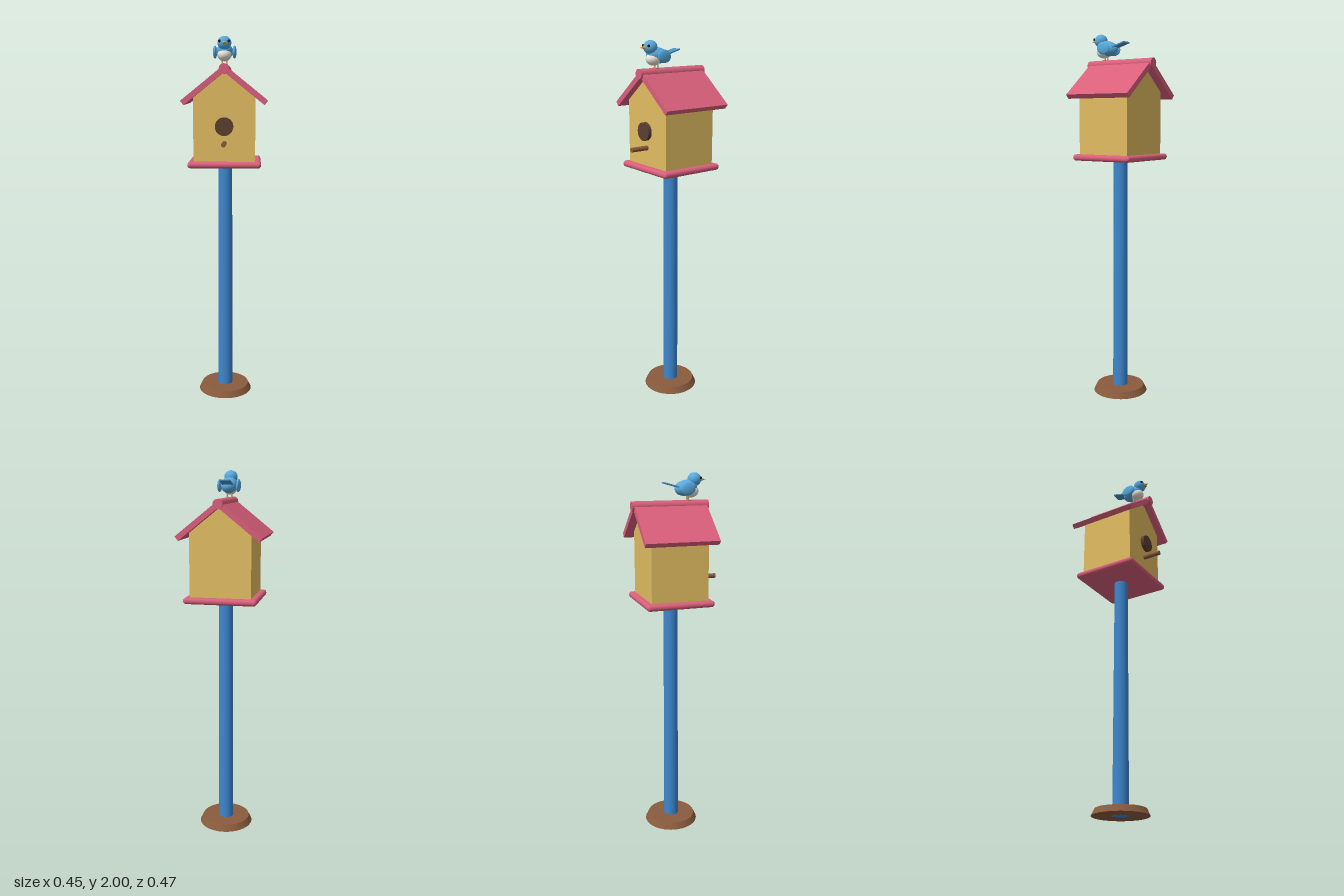
import * as THREE from 'three';
import { RoundedBoxGeometry } from 'three/addons/geometries/RoundedBoxGeometry.js';

const COLORS = {
  blue: 0x3d87cf, pink: 0xd95f7b, yellow: 0xe2bd62, brown: 0x8a5b3e, dark: 0x5a4030,
  bird: 0x58aade, tail: 0x4a92c4, white: 0xe9e4da, black: 0x151515, beak: 0xdca23c, leg: 0xc9a070,
};
const mats = {};
for (const key in COLORS) mats[key] = new THREE.MeshStandardMaterial({ color: COLORS[key] });

function add(parent, name, geometry, color, x = 0, y = 0, z = 0) {
  const mesh = new THREE.Mesh(geometry, mats[color]);
  mesh.name = name;
  mesh.position.set(x, y, z);
  parent.add(mesh);
  return mesh;
}

function ellipsoid(rx, ry, rz) {
  return new THREE.SphereGeometry(1, 32, 20).scale(rx, ry, rz);
}

// cylinder lying along z, from z0 to z1
function rod(radius, z0, z1) {
  return new THREE.CylinderGeometry(radius, radius, z1 - z0, 32)
    .rotateX(Math.PI / 2).translate(0, 0, (z0 + z1) / 2);
}

// profile in x and y, extruded from z0 to z1
function prism(points, z0, z1) {
  const shape = new THREE.Shape(points.map(([x, y]) => new THREE.Vector2(x, y)));
  return new THREE.ExtrudeGeometry(shape, { depth: z1 - z0, bevelEnabled: false }).translate(0, 0, z0);
}

function createStand() {
  const stand = new THREE.Group();
  stand.name = 'stand';
  const z = -0.024;
  add(stand, 'foot', new THREE.CylinderGeometry(0.133, 0.15, 0.035, 40), 'brown', 0, 0.0185, z);
  add(stand, 'pole', new THREE.CylinderGeometry(0.038, 0.042, 1.33, 32), 'blue', 0, 0.665, z);
  return stand;
}

function createHouse() {
  const house = new THREE.Group();
  house.name = 'house';
  add(house, 'floor', new RoundedBoxGeometry(0.39, 0.034, 0.37, 4, 0.0165), 'pink', 0, 1.338, -0.024);
  add(house, 'walls', prism(
    [[-0.163, 1.345], [0.163, 1.345], [0.163, 1.69], [0, 1.822], [-0.163, 1.69]], -0.178, 0.132), 'yellow');

  // two sloping roof slabs that meet under the ridge
  for (const s of [1, -1]) {
    add(house, s > 0 ? 'leftRoof' : 'rightRoof', prism(
      [[0, 1.818], [s * 0.209, 1.651], [s * 0.227, 1.673], [0, 1.854]], -0.224, 0.171), 'pink');
  }
  add(house, 'ridge', rod(0.026, -0.234, 0.182), 'pink', 0, 1.835, 0);

  // entrance and perch
  add(house, 'entrance', rod(0.048, 0.137, 0.158), 'dark', 0, 1.54, 0);
  add(house, 'perch', rod(0.0125, 0.12, 0.232), 'brown', 0, 1.452, 0);
  return house;
}

function createBird() {
  const bird = new THREE.Group();
  bird.name = 'bird';
  const body = add(bird, 'body', ellipsoid(0.044, 0.04, 0.061), 'bird', 0, 1.923, 0.061);
  body.rotation.x = -0.2;
  add(bird, 'belly', ellipsoid(0.037, 0.033, 0.041), 'white', 0, 1.906, 0.088);
  add(bird, 'head', ellipsoid(0.036, 0.035, 0.036), 'bird', 0, 1.965, 0.107);
  add(bird, 'beak', new THREE.ConeGeometry(0.011, 0.034, 20).rotateX(Math.PI / 2), 'beak', 0, 1.964, 0.153);

  // tail blade, rising to the back
  const tail = add(bird, 'tail', new THREE.BoxGeometry(0.056, 0.007, 0.08), 'tail', 0, 1.939, -0.023);
  tail.rotation.x = 0.28;

  for (const s of [1, -1]) {
    const side = s > 0 ? 'left' : 'right';
    const wing = add(bird, side + 'Wing', ellipsoid(0.011, 0.033, 0.041), 'bird', s * 0.051, 1.921, 0.056);
    wing.rotation.x = -0.2;
    add(bird, side + 'Eye', ellipsoid(0.007, 0.007, 0.007), 'black', s * 0.024, 1.973, 0.134);
    add(bird, side + 'Leg', new THREE.CylinderGeometry(0.004, 0.004, 0.04, 12), 'leg', s * 0.012, 1.872, 0.07);
    add(bird, side + 'Foot', ellipsoid(0.006, 0.004, 0.012), 'leg', s * 0.012, 1.86, 0.075);
  }
  return bird;
}

export function createModel() {
  const model = new THREE.Group();
  model.name = 'birdhouse';
  model.add(createStand(), createHouse(), createBird());
  return model;
}
